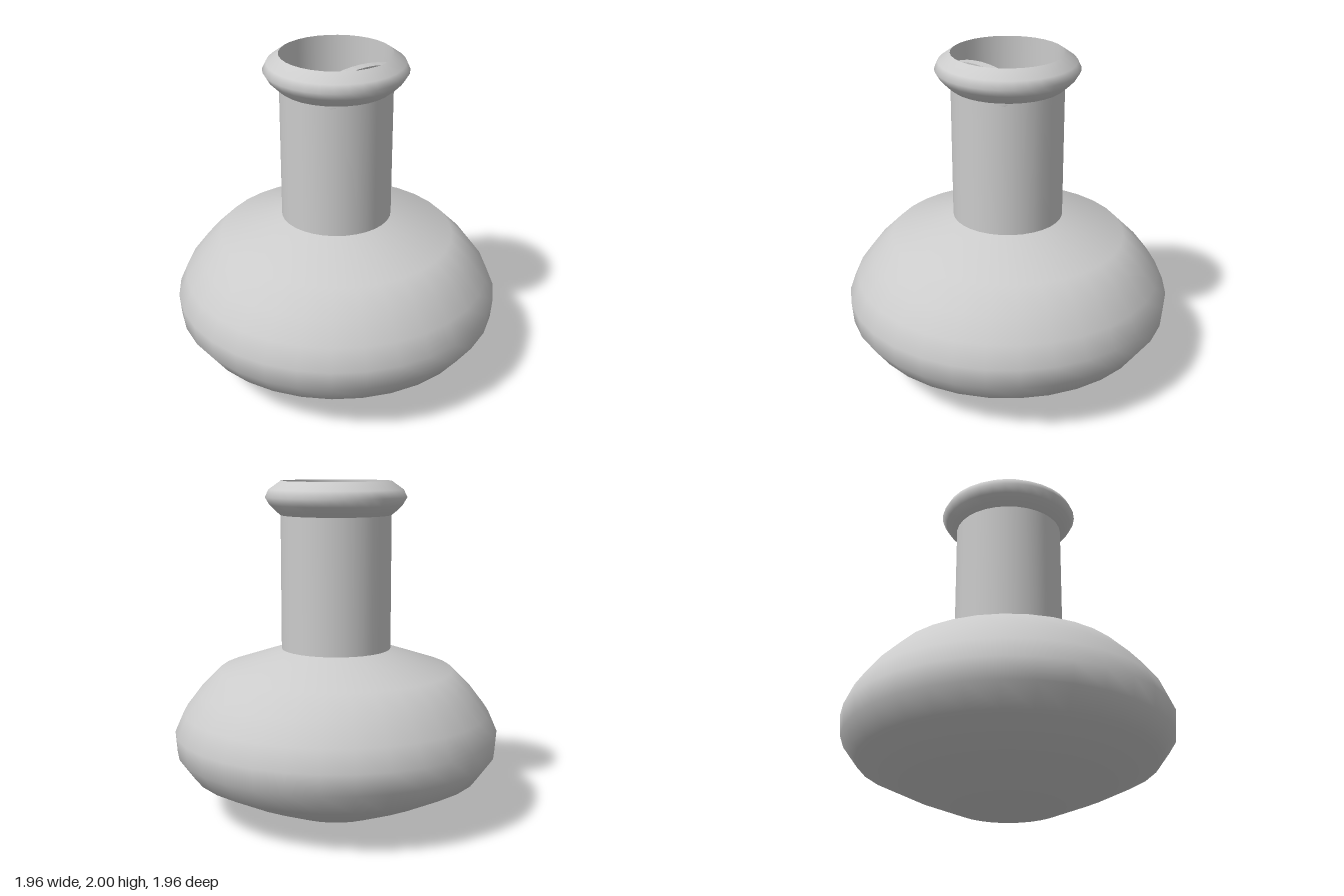
import * as THREE from 'three';

export function createModel() {
  const flask = new THREE.Group();
  flask.name = 'flask';
  const material = new THREE.MeshStandardMaterial({ color: 0xcccccc, side: THREE.DoubleSide });

  function add(name, geometry, parent = flask) {
    const mesh = new THREE.Mesh(geometry, material);
    mesh.name = name;
    parent.add(mesh);
    return mesh;
  }

  function lathe(name, profile) {
    const points = profile.map(([r, y]) => new THREE.Vector2(r, y));
    return add(name, new THREE.LatheGeometry(points, 32));
  }

  // Squat bowl, from the foot up to the shoulder
  lathe('bowl', [
    [0.33, 0], [0.63, 0.125], [0.88, 0.25], [0.97, 0.375], [0.98, 0.5],
    [0.925, 0.625], [0.83, 0.75], [0.705, 0.875], [0.33, 1],
  ]);

  // Flat base closing the bowl
  const base = add('base', new THREE.CircleGeometry(0.33, 32));
  base.rotation.x = Math.PI / 2;

  // Straight open neck
  lathe('neck', [[0.33, 1], [0.33, 2]]);

  // Rolled lip around the mouth
  lathe('lip', [
    [0.33, 1.8], [0.355, 1.82], [0.395, 1.86], [0.422, 1.905], [0.4, 1.95], [0.33, 2],
  ]);

  // Flat paddle leaning inside the flask, with a flared top end
  const paddle = new THREE.Group();
  paddle.name = 'paddle';
  paddle.position.set(0.02, 0.03, 0);
  paddle.rotation.z = -0.07;
  flask.add(paddle);

  const outline = new THREE.Shape();
  outline.moveTo(-0.38, 0);
  outline.lineTo(0.38, 0);
  outline.lineTo(0.38, 0.55);
  outline.quadraticCurveTo(0.34, 0.8, 0.2, 0.95);
  outline.lineTo(0.17, 1.55);
  outline.quadraticCurveTo(0.18, 1.75, 0.28, 1.88);
  outline.quadraticCurveTo(0, 1.96, -0.28, 1.88);
  outline.quadraticCurveTo(-0.18, 1.75, -0.17, 1.55);
  outline.lineTo(-0.2, 0.95);
  outline.quadraticCurveTo(-0.34, 0.8, -0.38, 0.55);
  outline.closePath();
  const blade = new THREE.ExtrudeGeometry(outline, { depth: 0.05, bevelEnabled: false, curveSegments: 8 });
  blade.translate(0, 0, -0.025);
  blade.rotateY(Math.PI / 2);
  add('paddleBlade', blade, paddle);

  // Rounded swelling on the outer face of the paddle's top end
  const knob = add('paddleKnob', new THREE.SphereGeometry(1, 24, 12, Math.PI / 2, Math.PI), paddle);
  knob.scale.set(0.14, 0.14, 0.27);
  knob.position.set(0.02, 1.77, 0);

  return flask;
}
